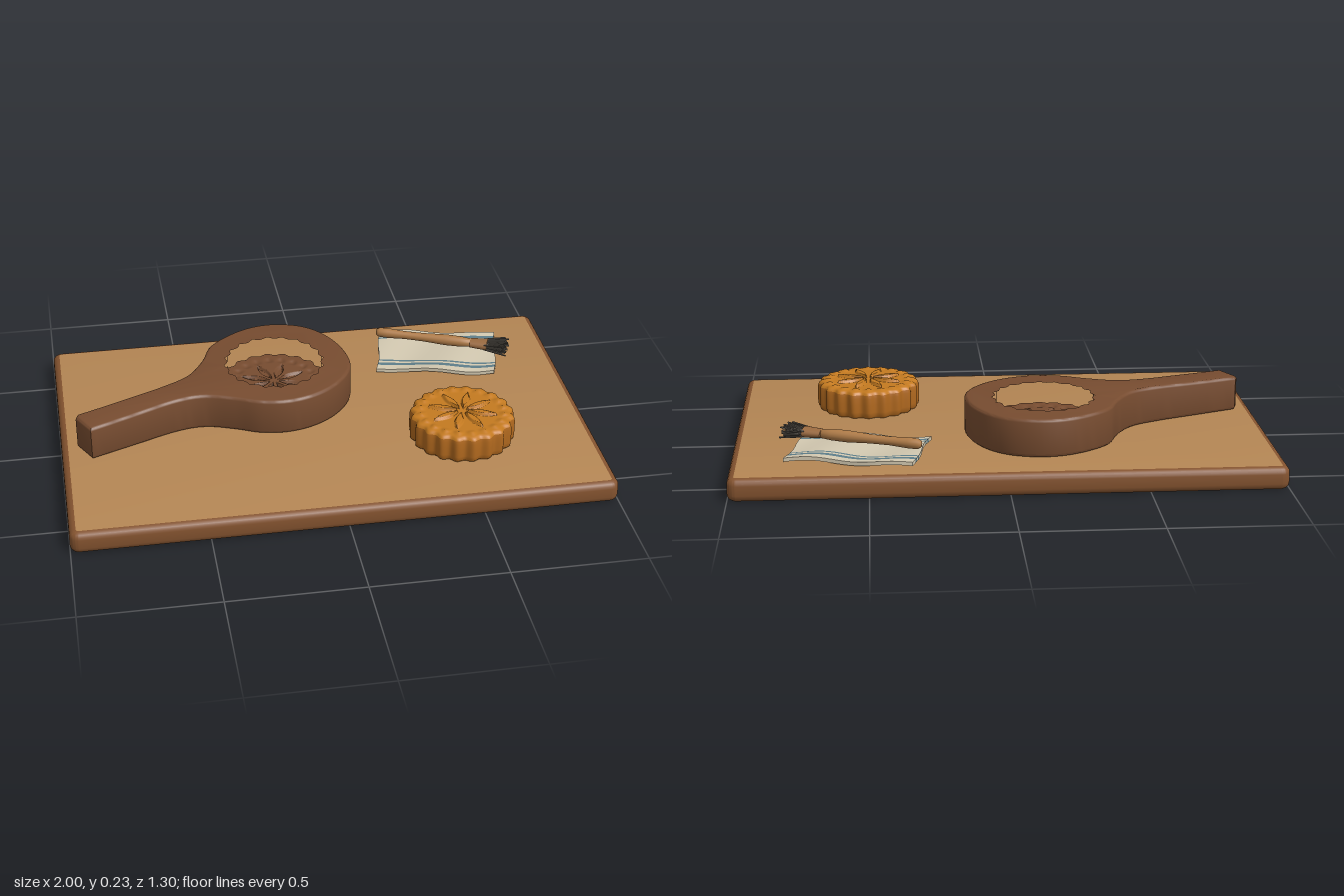
import * as THREE from 'three';
import { mergeVertices, toCreasedNormals } from 'three/addons/utils/BufferGeometryUtils.js';

const material = (name, color) => {
  const m = new THREE.MeshStandardMaterial({ color });
  m.name = name;
  return m;
};

export function createModel() {
  const boardWood = material('board wood', 0xb48654);
  const edgeWood = material('board edge wood', 0x84532f);
  const darkWood = material('dark wood', 0x774c30);
  const crust = material('golden crust', 0xc47a20);
  const bakedSide = material('baked side', 0xb0681e);
  const linen = material('linen', 0xd2c8b0);
  const blue = material('blue stripe', 0x5c7c88);
  const handleWood = material('handle wood', 0xb07c48);
  const ferruleTone = material('ferrule copper', 0x9a6a40);
  const bristleTone = material('bristle grey', 0x5a544c);

  const model = new THREE.Group();
  model.name = 'bakingSet';
  const add = (parent, name, geometry, mat, x = 0, y = 0, z = 0) => {
    const mesh = new THREE.Mesh(geometry, mat);
    mesh.name = name;
    mesh.position.set(x, y, z);
    parent.add(mesh);
    return mesh;
  };
  const group = (name, x = 0, y = 0, z = 0) => {
    const g = new THREE.Group();
    g.name = name;
    g.position.set(x, y, z);
    model.add(g);
    return g;
  };

  // Lay an x/z outline flat, from y = bottom to y = top, with rounded edges
  const slab = (shape, bottom, top, round, segments = 4) => {
    const g = new THREE.ExtrudeGeometry(shape, {
      depth: top - bottom - 2 * round, bevelThickness: round, bevelSize: round,
      bevelOffset: -round, bevelSegments: segments, curveSegments: 8,
    });
    g.rotateX(Math.PI / 2).translate(0, top - round, 0);
    return toCreasedNormals(g, 0.7);
  };

  // Board
  const W = 1, D = 0.65, C = 0.035;
  const rect = new THREE.Shape();
  [[W - C, D - C, 0], [C - W, D - C, 1], [C - W, C - D, 2], [W - C, C - D, 3]].forEach(([x, z, i]) =>
    rect.absarc(x, z, C, i * Math.PI / 2, (i + 1) * Math.PI / 2, false));
  add(model, 'board', slab(rect, 0, 0.085, 0.025), [boardWood, edgeWood]);

  // Scalloped discs: fluted rim, eight petals and a ring of beads
  const R = 0.2, LOBES = 20;
  const smooth = THREE.MathUtils.smoothstep;
  const flute = (r, a) => 1 + 0.032 * Math.cos(LOBES * a) * smooth(r, 0.11, 0.18);
  const relief = (r, a) => {
    const t = THREE.MathUtils.clamp((r - 0.022) / 0.105, 0, 1);
    const across = Math.abs(((a * 8 / (2 * Math.PI)) % 1 + 1) % 1 - 0.5) * 2 * r * Math.PI / 8;
    const width = 0.017 * Math.sin(Math.PI * t) + 0.0001;
    const petal = t > 0 && t < 1 ? 1 - smooth(across, width * 0.6, width) : 0;
    const bead = Math.max(0, 1 - Math.abs(r - 0.155) / 0.02) * (0.5 + 0.5 * Math.cos(LOBES * a));
    return 0.011 * petal + 0.008 * bead;
  };
  const flutedLathe = (profile, depth) => {
    const g = new THREE.LatheGeometry(profile.map(([r, y]) => new THREE.Vector2(r, y)), 240);
    const p = g.attributes.position;
    for (let i = 0; i < p.count; i++) {
      const x = p.getX(i), z = p.getZ(i), r = Math.hypot(x, z), a = Math.atan2(x, z);
      const s = flute(r, a);
      p.setXYZ(i, x * s, p.getY(i) + depth * relief(r, a), z * s);
    }
    g.deleteAttribute('normal');
    g.deleteAttribute('uv');
    const merged = mergeVertices(g, 1e-5);
    merged.computeVertexNormals();
    return merged;
  };
  const disc = (radius, y) => Array.from({ length: 37 }, (_, i) => [radius * (1 - i / 36), y]);

  // Mould paddle with a fluted hollow
  const MX = -0.155, MZ = -0.18;
  const curve = new THREE.SplineCurve([
    [-0.888, 0.18], [-0.72, 0.11], [-0.56, 0.045], [-0.45, 0.03], [-0.34, 0.065], [-0.25, 0.105],
    [-0.15, 0.118], [-0.05, 0.095], [0.04, 0.04], [0.11, -0.045], [0.14, -0.14], [0.122, -0.27],
    [0.065, -0.385], [-0.02, -0.457], [-0.14, -0.483], [-0.26, -0.45], [-0.38, -0.355],
    [-0.43, -0.24], [-0.5, -0.135], [-0.61, -0.07], [-0.77, -0.003], [-0.93, 0.063],
  ].map(([x, z]) => new THREE.Vector2(x, z)));
  const paddle = new THREE.Shape([...curve.getPoints(110), new THREE.Vector2(-0.938, 0.085)]);
  const hollow = Array.from({ length: 160 }, (_, i) => {
    const a = i / 160 * 2 * Math.PI, r = R * flute(R, a);
    return new THREE.Vector2(MX + r * Math.sin(a), MZ + r * Math.cos(a));
  });
  paddle.holes.push(new THREE.Path(hollow));
  const mould = group('mould');
  const body = slab(paddle, 0.087, 0.23, 0.012, 3);
  // The handle dips slightly towards its end
  const bp = body.attributes.position;
  for (let i = 0; i < bp.count; i++) {
    if (bp.getY(i) > 0.15) bp.setY(i, bp.getY(i) - 0.01 * smooth(-bp.getX(i), 0.45, 0.94));
  }
  add(mould, 'mouldBody', body, darkWood);
  add(mould, 'mouldHollowFloor', flutedLathe(disc(0.203, 0.145), -1), darkWood, MX, 0, MZ);

  // Pressed cake
  const cake = group('cake', 0.5, 0, 0.235);
  add(cake, 'cakeSide', flutedLathe(
    [[0.183, 0.085], [0.191, 0.093], [0.193, 0.11], [0.193, 0.14], [0.193, 0.165], [0.19, 0.178]], 0), bakedSide);
  add(cake, 'cakeTop', flutedLathe(
    [[0.19, 0.178], [0.186, 0.185], [0.18, 0.189], ...disc(0.174, 0.19)], 1), crust);

  // Cloth: striped bands sharing one gentle ripple
  const cloth = group('cloth', 0.538, 0.1, -0.37);
  cloth.rotation.y = -0.195;
  const cuts = [-0.155, -0.123, -0.105, -0.093, -0.083, 0.083, 0.093, 0.105, 0.123, 0.155];
  for (let i = 0; i < cuts.length - 1; i++) {
    const z0 = cuts[i], z1 = cuts[i + 1];
    const g = new THREE.BoxGeometry(0.47, 0.014, z1 - z0, 32, 1, Math.ceil((z1 - z0) / 0.02));
    g.translate(0, 0, (z0 + z1) / 2);
    const p = g.attributes.position;
    for (let k = 0; k < p.count; k++) {
      const x = p.getX(k), z = p.getZ(k);
      p.setXYZ(k, x - 0.12 * z * 0.3 + 0.005 * Math.sin(z * 24),
        p.getY(k) + 0.005 * Math.sin(x * 20 + z * 9), z + 0.009 * Math.sin(x * 15));
    }
    g.computeVertexNormals();
    add(cloth, i % 2 ? 'clothStripe' : 'clothBand', g, i % 2 ? blue : linen);
  }

  // Brush, built along +x
  const brush = group('brush', 0.31, 0.15, -0.487);
  brush.rotation.y = -0.4;
  const handle = new THREE.LatheGeometry([
    [0, 0], [0.012, 0.003], [0.019, 0.015], [0.02, 0.05], [0.016, 0.12], [0.017, 0.2],
    [0.022, 0.29], [0.021, 0.35], [0.016, 0.4], [0, 0.4],
  ].map(([r, y]) => new THREE.Vector2(r, y)), 20);
  handle.rotateZ(-Math.PI / 2);
  add(brush, 'brushHandle', handle, handleWood);
  const ferrule = new THREE.CylinderGeometry(0.024, 0.019, 0.07, 20);
  ferrule.rotateZ(-Math.PI / 2).scale(1, 0.85, 1.4);
  add(brush, 'brushFerrule', ferrule, ferruleTone, 0.425);
  for (let row = -1; row <= 1; row++) {
    for (let i = -4; i <= 4; i++) {
      const length = 0.085 + 0.008 * Math.sin(i * 2.3 + row * 1.7);
      const start = new THREE.Vector3(0.45, row * 0.01, i * 0.0065);
      const end = new THREE.Vector3(0.45 + length, row * 0.018, i * 0.0105);
      add(brush, 'bristle', new THREE.TubeGeometry(new THREE.LineCurve3(start, end), 1, 0.0035, 6), bristleTone);
    }
  }

  return model;
}
